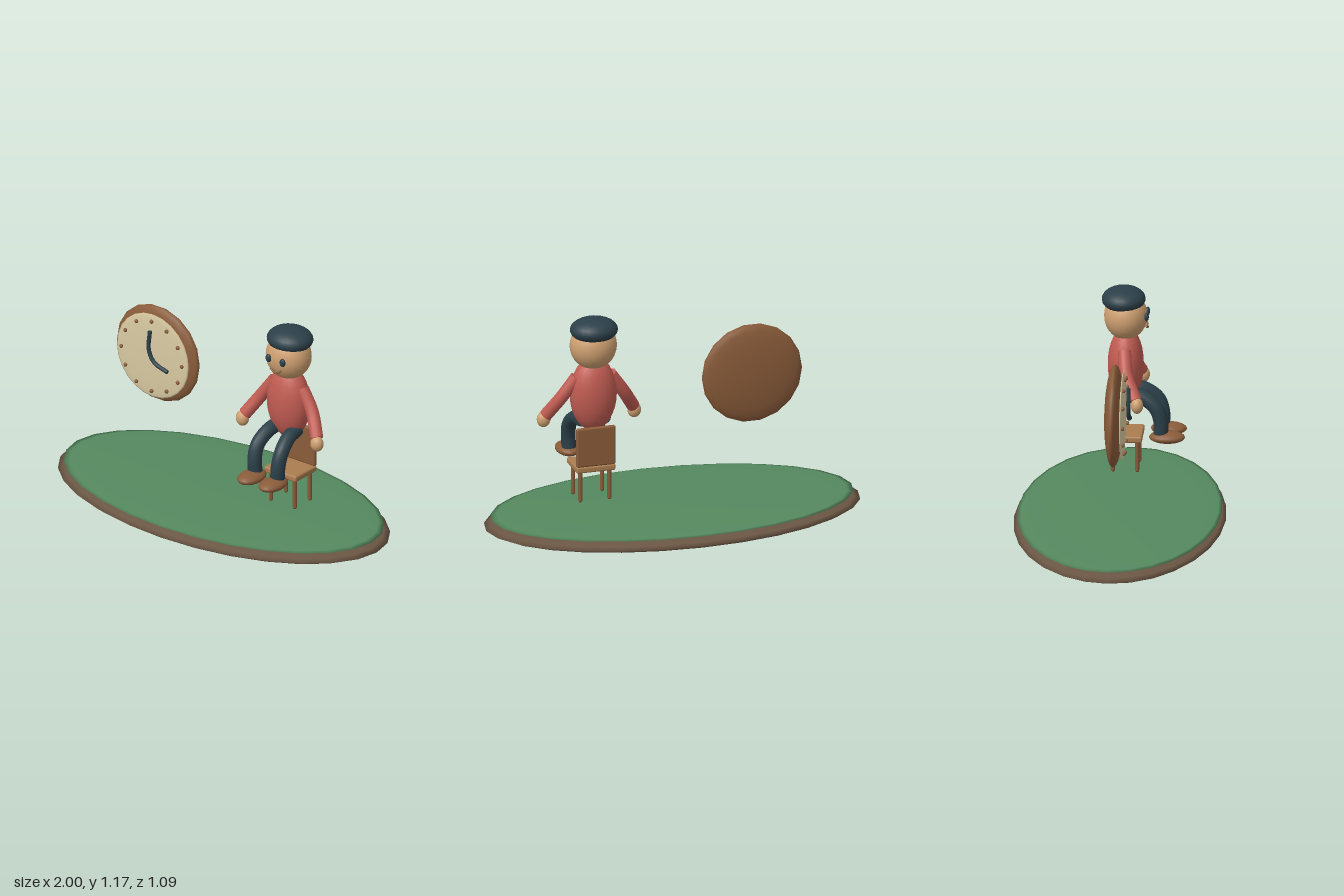
import * as THREE from 'three';
import { RoundedBoxGeometry } from 'three/addons/geometries/RoundedBoxGeometry.js';

const COLORS = {
  earth: 0x6b5644, grass: 0x55895f, wood: 0x8a5c3a, paleWood: 0xab7d50,
  cream: 0xd9caa2, red: 0xc15c52, dark: 0x2c4049, skin: 0xcfa071,
};
const materials = {};
for (const key in COLORS) {
  materials[key] = new THREE.MeshStandardMaterial({ color: COLORS[key], side: THREE.DoubleSide });
}

function add(parent, name, geometry, color, position = [0, 0, 0]) {
  const mesh = new THREE.Mesh(geometry, materials[color]);
  mesh.name = name;
  mesh.position.set(...position);
  parent.add(mesh);
  return mesh;
}

// Ellipsoid with its own radii; normals follow the squashed shape
function ellipsoid(parent, name, radii, color, position, sides = 24, rows = 16, faceForward = false) {
  const geometry = new THREE.SphereGeometry(1, sides, rows);
  if (faceForward) geometry.rotateX(Math.PI / 2);
  geometry.scale(...radii);
  return add(parent, name, geometry, color, position);
}

// Smooth tube through a few points, with closed ends
function limb(parent, name, points, radius, color) {
  const curve = new THREE.CatmullRomCurve3(points.map((p) => new THREE.Vector3(...p)));
  add(parent, name, new THREE.TubeGeometry(curve, 24, radius, 14), color);
  for (const t of [0, 1]) {
    const end = curve.getPoint(t);
    const cap = add(parent, name + 'End', new THREE.CircleGeometry(radius, 14), color, end.toArray());
    const outward = curve.getTangent(t).multiplyScalar(t ? 1 : -1);
    cap.quaternion.setFromUnitVectors(new THREE.Vector3(0, 0, 1), outward);
  }
}

function buildGround() {
  const ground = new THREE.Group();
  ground.name = 'ground';
  ellipsoid(ground, 'earth', [1, 0.058, 0.545], 'earth', [0, 0.06, 0], 28, 12);
  ellipsoid(ground, 'grass', [0.965, 0.016, 0.525], 'grass', [0, 0.105, 0], 28, 12);
  return ground;
}

function buildClock() {
  const clock = new THREE.Group();
  clock.name = 'clock';
  clock.position.set(-0.43, 0.77, 0);
  ellipsoid(clock, 'clockBody', [0.27, 0.268, 0.048], 'wood', [0, 0, 0], 18, 12, true);
  ellipsoid(clock, 'clockFace', [0.235, 0.235, 0.011], 'cream', [0, 0, 0.045], 24, 12, true);
  for (let i = 0; i < 12; i++) {
    const a = (i / 12) * Math.PI * 2;
    ellipsoid(clock, 'hourMark', [0.011, 0.011, 0.009], 'wood',
      [Math.sin(a) * 0.198, Math.cos(a) * 0.198, 0.057], 10, 8);
  }
  // Both hands are one bent rod
  limb(clock, 'clockHands', [[0.003, 0.15, 0.074], [-0.004, 0.045, 0.074],
    [0.03, -0.018, 0.074], [0.118, -0.05, 0.074]], 0.011, 'dark');
  return clock;
}

function buildChair() {
  const chair = new THREE.Group();
  chair.name = 'chair';
  chair.position.set(0.435, 0, 0);
  add(chair, 'seat', new RoundedBoxGeometry(0.21, 0.034, 0.178, 3, 0.01), 'paleWood', [0, 0.368, 0]);
  add(chair, 'backrest', new RoundedBoxGeometry(0.21, 0.212, 0.025, 3, 0.01), 'wood', [0, 0.49, -0.079]);
  for (const x of [-0.078, 0.078]) {
    for (const z of [-0.062, 0.063]) {
      add(chair, 'chairLeg', new THREE.CapsuleGeometry(0.011, 0.15, 4, 12), 'wood', [x, 0.272, z]);
    }
  }
  return chair;
}

function buildFigure() {
  const figure = new THREE.Group();
  figure.name = 'figure';
  figure.position.set(0.424, 0, 0);
  ellipsoid(figure, 'torso', [0.124, 0.2, 0.093], 'red', [0, 0.752, 0]);
  ellipsoid(figure, 'head', [0.123, 0.125, 0.112], 'skin', [0, 1.015, 0]);
  ellipsoid(figure, 'cap', [0.125, 0.064, 0.113], 'dark', [0, 1.106, -0.011]);
  limb(figure, 'smile', [[-0.035, 0.971, 0.107], [0, 0.955, 0.113], [0.035, 0.971, 0.107]], 0.005, 'wood');

  for (const side of [-1, 1]) {
    const mirror = ([x, y, z]) => [x * side, y, z];
    ellipsoid(figure, 'eye', [0.017, 0.023, 0.012], 'dark', [side * 0.046, 1.025, 0.11], 14, 10);
    limb(figure, 'arm', [[0.09, 0.85, 0], [0.165, 0.745, 0.015], [0.235, 0.635, 0.065]].map(mirror), 0.034, 'red');
    ellipsoid(figure, 'hand', [0.036, 0.042, 0.032], 'skin', [side * 0.244, 0.61, 0.075], 16, 12);
    limb(figure, 'leg', [[0.06, 0.612, 0.01], [0.068, 0.595, 0.09], [0.078, 0.54, 0.16],
      [0.077, 0.47, 0.185], [0.072, 0.39, 0.185]].map(mirror), 0.038, 'dark');
    ellipsoid(figure, 'shoe', [0.063, 0.031, 0.093], 'wood', [side * 0.07, 0.382, 0.217], 20, 12);
  }
  return figure;
}

export function createModel() {
  const model = new THREE.Group();
  model.name = 'seatedFigureWithClock';
  model.add(buildGround(), buildClock(), buildChair(), buildFigure());
  return model;
}
